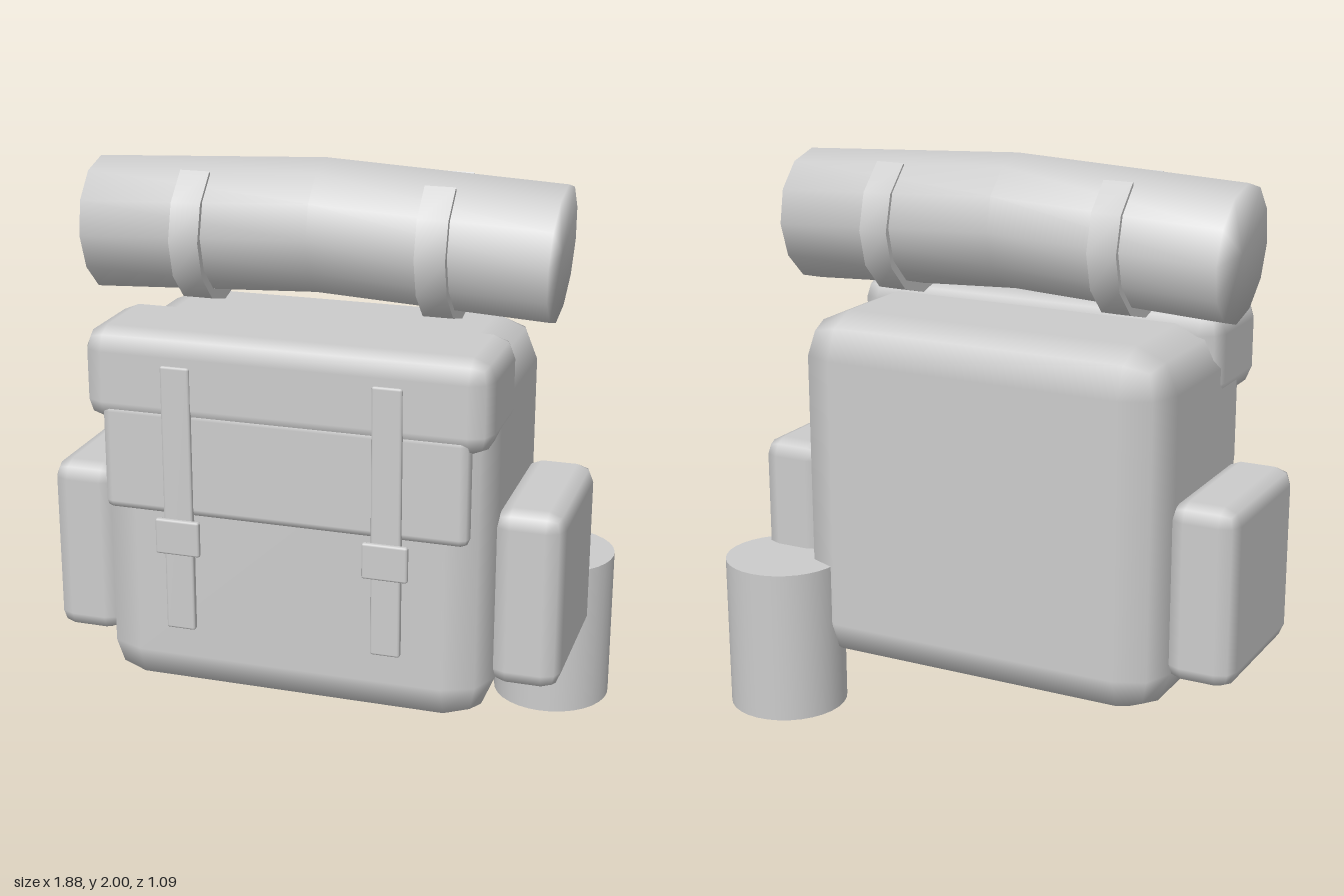
import * as THREE from 'three';
import { RoundedBoxGeometry } from 'three/addons/geometries/RoundedBoxGeometry.js';
import { mergeVertices, toCreasedNormals } from 'three/addons/utils/BufferGeometryUtils.js';

const MID = -0.035; // centre line of the pack in x

export function createModel() {
  const pack = new THREE.Group();
  pack.name = 'backpack';
  const grey = new THREE.MeshStandardMaterial({ color: 0xcccccc });
  grey.name = 'light grey';

  const add = (name, geometry) => {
    const mesh = new THREE.Mesh(geometry, grey);
    mesh.name = name;
    pack.add(mesh);
    return mesh;
  };

  // Bevelled box given by its extents on each axis
  const softBox = (name, [x0, x1], [y0, y1], [z0, z1], radius) => {
    const box = new RoundedBoxGeometry(x1 - x0, y1 - y0, z1 - z0, 1, radius);
    box.translate((x0 + x1) / 2, (y0 + y1) / 2, (z0 + z1) / 2);
    return add(name, box);
  };

  // Main bag, lid and front flap
  softBox('body', [-0.722, 0.655], [0.185, 1.45], [-0.362, 0.472], 0.15);
  softBox('lid', [-0.73, 0.662], [1.17, 1.492], [0.11, 0.523], 0.075);
  softBox('frontFlap', [-0.663, 0.597], [0.865, 1.24], [0.45, 0.517], 0.03);

  // Side pockets
  softBox('rightPocket', [-0.942, -0.7], [0.312, 0.942], [-0.24, 0.35], 0.06);
  softBox('leftPocket', [0.633, 0.875], [0.312, 0.942], [-0.24, 0.35], 0.06);

  // Front straps with buckles
  for (const [side, x] of [['right', -0.392], ['left', 0.327]]) {
    softBox(side + 'FrontStrap', [x - 0.051, x + 0.051], [0.46, 1.39], [0.503, 0.531], 0.008);
    softBox(side + 'Buckle', [x - 0.078, x + 0.078], [0.735, 0.86], [0.522, 0.545], 0.008);
  }

  // Cup hanging at the back corner
  const cup = new THREE.CylinderGeometry(0.21, 0.21, 0.55, 32);
  cup.translate(0.727, 0.275, -0.333);
  add('cup', cup);

  // Bedroll: a twelve-sided cylinder drooping at both ends, with soft end edges
  let roll = new THREE.CylinderGeometry(0.232, 0.232, 1.61, 12, 2);
  roll.rotateZ(Math.PI / 2);
  const p = roll.attributes.position;
  for (let i = 0; i < p.count; i++) {
    const end = p.getX(i) / 0.805; // -1, 0 or 1
    const y = p.getY(i);
    p.setXYZ(i, MID + p.getX(i) + end * y * 0.054, 1.77 - Math.abs(end) * 0.04 + y, p.getZ(i) + 0.01);
  }
  roll.deleteAttribute('normal');
  roll.deleteAttribute('uv');
  roll = mergeVertices(roll, 1e-4);
  roll.computeVertexNormals();
  add('bedroll', roll);

  // Bedroll straps: faceted bands open at the top
  const arc = (r) => Array.from({ length: 11 }, (_, i) => {
    const a = ((i + 1) * Math.PI) / 6;
    return new THREE.Vector2(Math.sin(a) * r, Math.cos(a) * r);
  });
  const band = new THREE.Shape([...arc(0.252), ...arc(0.218).reverse()]);
  for (const [side, x] of [['right', -0.456], ['left', 0.389]]) {
    const strap = new THREE.ExtrudeGeometry(band, { depth: 0.104, bevelEnabled: false });
    strap.translate(0, 0, -0.052);
    strap.rotateY(Math.PI / 2);
    const mesh = add(side + 'BedrollStrap', toCreasedNormals(strap, 0.8));
    mesh.position.set(x, 1.738, 0.013);
  }

  return pack;
}
